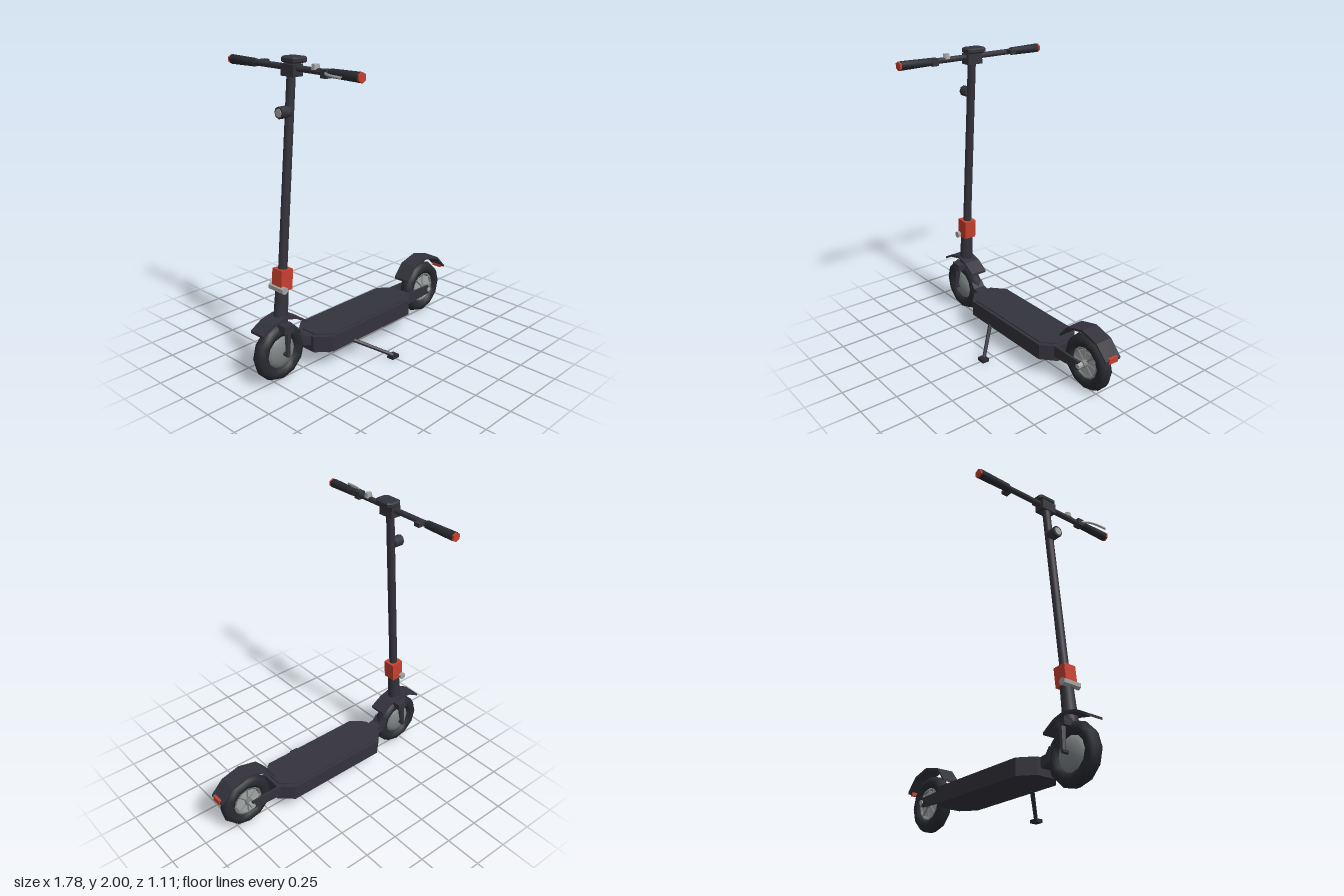
import * as THREE from 'three';
import { toCreasedNormals } from 'three/addons/utils/BufferGeometryUtils.js';

const mat = (name, color, side = THREE.FrontSide) => {
  const m = new THREE.MeshStandardMaterial({ color, side });
  m.name = name;
  return m;
};

export function createModel() {
  const root = new THREE.Group();
  root.name = 'kickScooter';
  const frame = mat('charcoalFrame', 0x34333c);
  const rubber = mat('blackRubber', 0x282a30);
  const red = mat('redAccent', 0xc8402f);
  const silver = mat('silverMetal', 0xa3a6a4);
  const rim = mat('greyRim', 0x7d8283);

  const V = (x, y, z) => new THREE.Vector3(x, y, z);
  const add = (name, geo, m, p = [0, 0, 0], parent = root) => {
    const mesh = new THREE.Mesh(geo, m);
    mesh.name = name;
    mesh.position.set(...p);
    parent.add(mesh);
    return mesh;
  };
  const box = (name, size, p, m, parent) => add(name, new THREE.BoxGeometry(...size), m, p, parent);
  // Round bar between two points
  const rod = (name, a, b, r1, r2, m, sides = 8, parent = root) => {
    const A = V(...a), B = V(...b), d = B.clone().sub(A);
    const geo = toCreasedNormals(new THREE.CylinderGeometry(r2, r1, d.length(), sides), 0.9);
    const mesh = add(name, geo, m, A.add(B).multiplyScalar(0.5).toArray(), parent);
    mesh.quaternion.setFromUnitVectors(V(0, 1, 0), d.normalize());
    return mesh;
  };
  // Side profile extruded across z, centred on z
  const plate = (name, pts, width, m, z = 0) => {
    const shape = new THREE.Shape(pts.map(p => new THREE.Vector2(...p)));
    const geo = new THREE.ExtrudeGeometry(shape, { depth: width, bevelEnabled: false });
    return add(name, geo, m, [0, 0, z - width / 2]);
  };

  // Steering column, tilted back
  const tilt = -Math.atan(0.093);
  const axis = y => [-0.67 + 0.093 * (y - 0.5), y, 0];
  rod('upperStem', axis(0.6), axis(1.92), 0.029, 0.027, frame, 12);
  rod('lowerStem', axis(0.38), axis(0.61), 0.047, 0.041, frame, 12);
  box('foldingClamp', [0.09, 0.13, 0.088], axis(0.675), red).rotation.z = tilt;
  rod('clampPin', [-0.69, 0.622, -0.065], [-0.69, 0.622, 0.065], 0.025, 0.025, silver, 6);

  // Headlight
  rod('headlight', [-0.57, 1.69, 0], [-0.642, 1.69, 0], 0.037, 0.037, frame, 8);
  rod('headlightLens', [-0.64, 1.69, 0], [-0.646, 1.69, 0], 0.026, 0.026, silver, 8);

  // Cockpit
  const bx = -0.535, by = 1.937;
  rod('handlebar', [bx, by, -0.5], [bx, by, 0.5], 0.019, 0.019, frame, 8);
  box('barClamp', [0.075, 0.07, 0.11], [bx, 1.925, 0], frame);
  const display = new THREE.Shape([[-0.055, -0.05], [-0.035, -0.07], [0.035, -0.07], [0.055, -0.05],
    [0.055, 0.05], [0.035, 0.07], [-0.035, 0.07], [-0.055, 0.05]].map(p => new THREE.Vector2(...p)));
  const displayGeo = new THREE.ExtrudeGeometry(display,
    { depth: 0.018, bevelThickness: 0.008, bevelSize: 0.008, bevelOffset: -0.008, bevelSegments: 1 });
  add('display', displayGeo.rotateX(-Math.PI / 2), frame, [-0.515, 1.974, 0]);
  box('displayFoot', [0.06, 0.02, 0.07], [-0.525, 1.96, 0], frame);
  for (const s of [-1, 1]) {
    rod('grip', [bx, by, s * 0.32], [bx, by, s * 0.543], 0.026, 0.03, rubber, 8);
    rod('gripCap', [bx, by, s * 0.542], [bx, by, s * 0.556], 0.03, 0.03, red, 6);
  }
  box('throttle', [0.065, 0.025, 0.042], [-0.502, 1.943, -0.295], frame);
  box('brakeClamp', [0.05, 0.048, 0.045], [-0.543, 1.932, 0.292], frame);
  const lever = new THREE.CatmullRomCurve3([V(-0.56, 1.937, 0.3), V(-0.59, 1.937, 0.345),
    V(-0.605, 1.936, 0.4), V(-0.61, 1.934, 0.48)]);
  add('brakeLever', new THREE.TubeGeometry(lever, 8, 0.008, 5), silver);
  rod('bell', [bx, 1.945, 0.2], [bx, 1.976, 0.2], 0.027, 0.022, silver, 6);

  // Fork
  box('forkCrown', [0.075, 0.05, 0.18], [-0.685, 0.37, 0], frame).rotation.z = tilt;
  for (const s of [-1, 1])
    rod('forkLeg', [-0.683, 0.37, s * 0.07], [-0.698, 0.195, s * 0.083], 0.024, 0.015, frame, 6);

  // Wheels
  const wheel = (name, x) => {
    const g = new THREE.Group();
    g.name = name;
    g.position.set(x, 0.2, 0);
    root.add(g);
    add('tyre', new THREE.TorusGeometry(0.145, 0.047, 8, 12), rubber, [0, 0, 0], g);
    return g;
  };
  const front = wheel('frontWheel', -0.7);
  const dome = new THREE.SphereGeometry(0.115, 12, 8).rotateX(Math.PI / 2).scale(1, 1, 0.48);
  add('hubMotor', dome, rim, [0, 0, 0], front);
  rod('frontAxle', [0, 0, -0.092], [0, 0, 0.092], 0.014, 0.014, frame, 6, front);

  const rear = wheel('rearWheel', 0.67);
  add('rimRing', new THREE.TorusGeometry(0.102, 0.016, 6, 12).scale(1, 1, 2), rim, [0, 0, 0], rear);
  rod('brakeDisc', [0, 0, -0.024], [0, 0, 0.024], 0.092, 0.092, silver, 8, rear);
  for (let i = 0; i < 8; i++) {
    const a = i * Math.PI / 4, c = Math.cos(a), s = Math.sin(a);
    for (const z of [-0.025, 0.025])
      rod('spoke', [c * 0.02, s * 0.02, z], [c * 0.1, s * 0.1, z], 0.006, 0.006, rim, 4, rear);
  }
  rod('rearHub', [0, 0, -0.055], [0, 0, 0.055], 0.026, 0.026, rim, 8, rear);
  rod('rearAxle', [0, 0, -0.094], [0, 0, 0.094], 0.018, 0.018, silver, 6, rear);

  // Mudguards
  const fender = (name, pts, width) =>
    plate(name, [...pts, ...pts.map(([x, y]) => [x, y - 0.016]).reverse()], width, frame);
  fender('frontMudguard', [[-0.865, 0.38], [-0.785, 0.425], [-0.69, 0.445], [-0.6, 0.42], [-0.515, 0.365]], 0.12);
  fender('rearMudguard', [[0.46, 0.322], [0.535, 0.41], [0.67, 0.445], [0.8, 0.41], [0.885, 0.322]], 0.12);
  box('tailLight', [0.022, 0.036, 0.07], [0.88, 0.317, 0], red);

  // Deck
  const octagon = (x0, x1, w, cut, h) => {
    const half = w - cut;
    const pts = [[x0, -half], [x0 + cut + 0.01, -w], [x1 - cut - 0.01, -w], [x1, -half],
      [x1, half], [x1 - cut - 0.01, w], [x0 + cut + 0.01, w], [x0, half]];
    const shape = new THREE.Shape(pts.map(p => new THREE.Vector2(...p)));
    return new THREE.ExtrudeGeometry(shape, { depth: h, bevelEnabled: false }).rotateX(-Math.PI / 2);
  };
  add('deck', octagon(-0.472, 0.46, 0.153, 0.082, 0.108), frame, [0, 0.125, 0]);
  add('gripMat', octagon(-0.445, 0.435, 0.132, 0.075, 0.007), frame, [0, 0.233, 0]);
  plate('neck', [[-0.56, 0.27], [-0.535, 0.19], [-0.46, 0.165], [-0.46, 0.232], [-0.515, 0.24], [-0.545, 0.28]], 0.09, frame);

  // Rear arms
  for (const s of [-1, 1])
    plate('rearArm', [[0.4, 0.16], [0.5, 0.16], [0.67, 0.17], [0.67, 0.23], [0.5, 0.235], [0.4, 0.235]], 0.016, frame, s * 0.08);

  // Kickstand
  rod('kickstandLeg', [-0.19, 0.135, 0.135], [0, 0.018, 0.33], 0.014, 0.012, frame, 6);
  box('kickstandFoot', [0.06, 0.022, 0.05], [0, 0.012, 0.333], rubber);

  return root;
}
